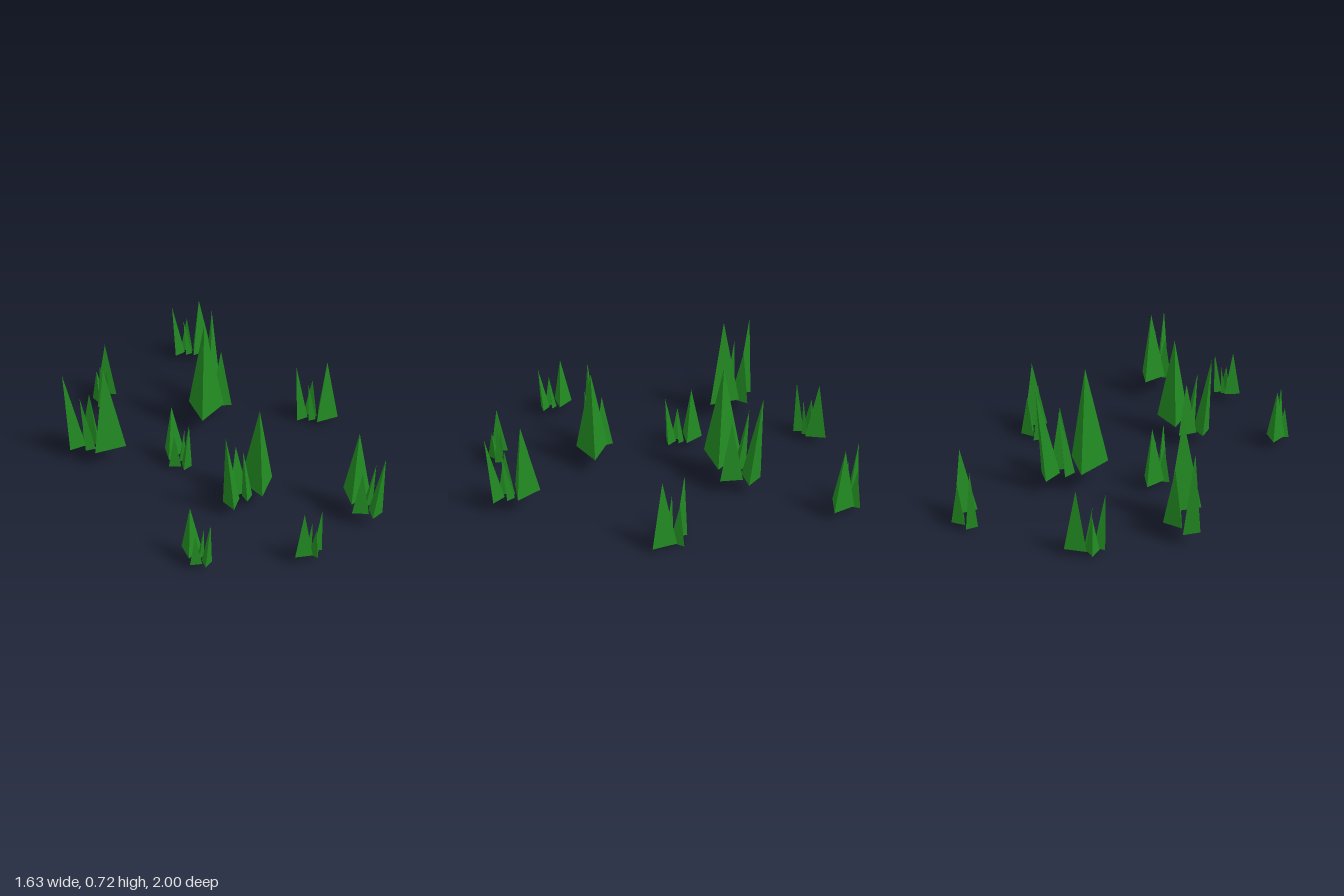
import * as THREE from 'three';

const green = new THREE.MeshStandardMaterial({ color: 0x228b22, flatShading: true });
const rad = THREE.MathUtils.degToRad;

// Spikes of one clump: base centre, tip, base radius, direction of one base corner (degrees from +x to +z)
const spikes = [
  { name: 'tallSpike', base: [0, 0.05, 0], tip: [0, 0.64, 0], radius: 0.121, corner: 30 },
  { name: 'wideSpike', base: [0.143, 0.015, 0.003], tip: [0.148, 0.38, 0.007], radius: 0.074, corner: 75 },
  { name: 'smallSpike', base: [0.088, 0.02, -0.074], tip: [0.123, 0.42, -0.103], radius: 0.038, corner: 40 },
  { name: 'leaningSpike', base: [0.19, 0.006, -0.097], tip: [0.238, 0.56, -0.128], radius: 0.062, corner: 30 },
];

// Clumps: x, ground height, z, scale, turn (degrees from +x to +z)
const clumps = [
  [0.207, 0.08, -0.307, 1, 0],
  [-0.375, 0.068, -0.56, 0.88, -88],
  [0.086, 0.018, -0.965, 0.57, 179],
  [0.76, 0.025, -0.777, 0.62, -98],
  [-0.15, 0.016, -0.268, 0.56, 130],
  [-0.146, 0.065, 0.333, 0.86, 222],
  [-0.747, 0.035, 0.33, 0.505, 120],
  [0.677, 0.003, 0.229, 0.66, -90],
  [0.096, 0.077, 0.808, 0.715, 130],
  [-0.412, 0.042, 0.812, 0.45, 44],
];

// Three-sided cone standing on its base and leaning toward its tip
function makeSpike({ name, base, tip, radius, corner }) {
  const from = new THREE.Vector3(...base);
  const axis = new THREE.Vector3(...tip).sub(from);
  const height = axis.length();
  const geometry = new THREE.ConeGeometry(radius, height, 3);
  geometry.translate(0, height / 2, 0);
  geometry.rotateY(rad(90 - corner));
  const mesh = new THREE.Mesh(geometry, green);
  mesh.name = name;
  mesh.position.copy(from);
  mesh.quaternion.setFromUnitVectors(new THREE.Vector3(0, 1, 0), axis.normalize());
  return mesh;
}

export function createModel() {
  const model = new THREE.Group();
  model.name = 'grassClumps';
  clumps.forEach(([x, y, z, scale, turn], i) => {
    const clump = new THREE.Group();
    clump.name = `clump${i + 1}`;
    clump.add(...spikes.map(makeSpike));
    clump.position.set(x, y, z);
    clump.scale.setScalar(scale);
    clump.rotation.y = -rad(turn);
    model.add(clump);
  });
  return model;
}
